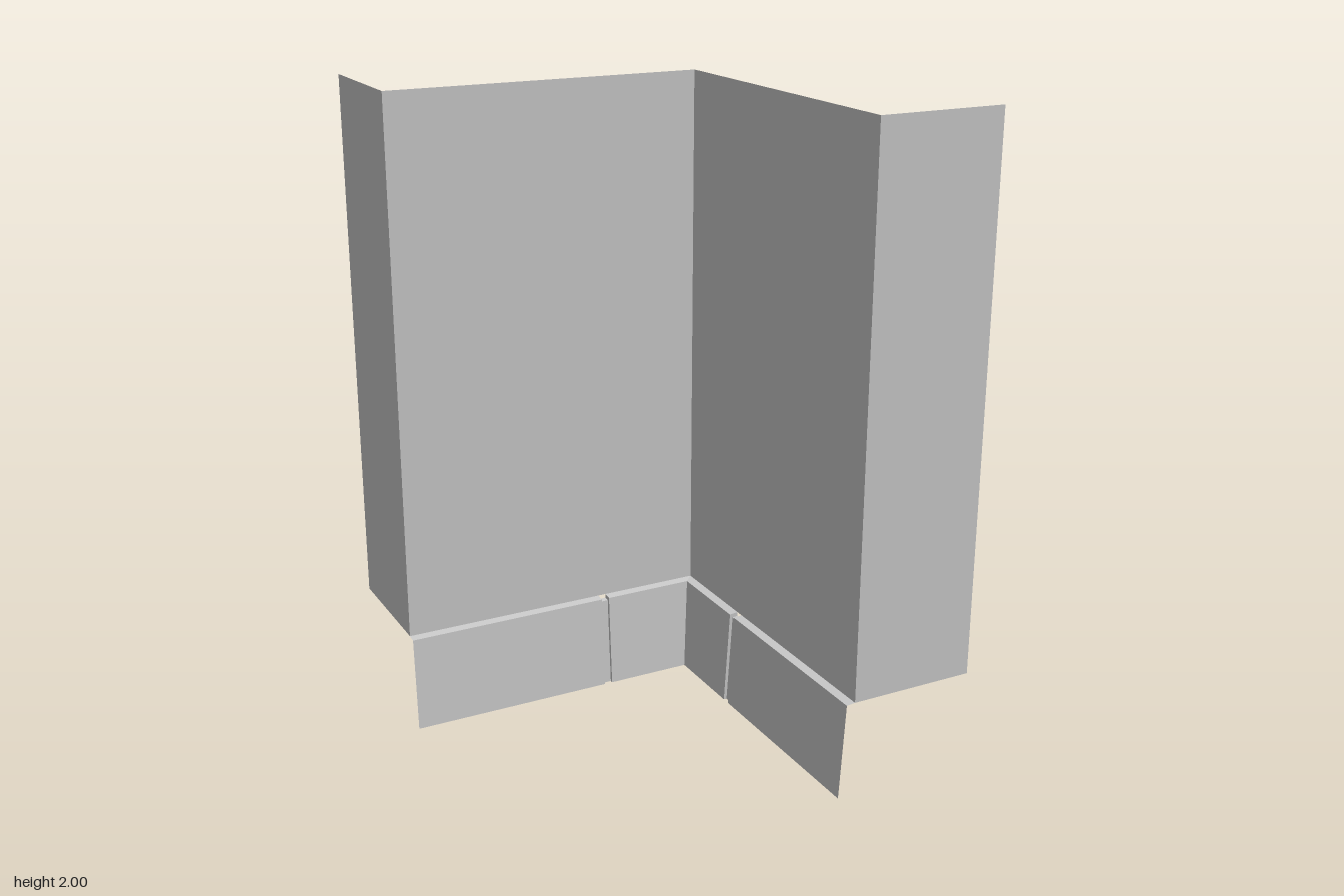
import * as THREE from 'three';

const material = new THREE.MeshStandardMaterial({ color: 0xcccccc, flatShading: true, side: THREE.DoubleSide });

const TOP = 2, BASE = 0.305, CORNER = 0.3, END = 0.7;
// profiles as [distance in front of the wall, height]
const skirtProfile = [[0, BASE], [0.028, 0.302], [0.046, 0]];
const grooveProfile = [[0, 0.292], [0.018, 0.29], [0.036, 0]];
const GROOVE = [-0.046, -0.02];

// Mesh from four-cornered faces
function sheet(name, quads) {
  const points = quads.flatMap(([a, b, c, d]) => [a, b, c, a, c, d]).flat();
  const geometry = new THREE.BufferGeometry();
  geometry.setAttribute('position', new THREE.Float32BufferAttribute(points, 3));
  geometry.computeVertexNormals();
  const mesh = new THREE.Mesh(geometry, material);
  mesh.name = name;
  return mesh;
}

// Faces of a profile swept between two ends; x0 and x1 give x for each distance
function sweep(profile, x0, x1) {
  const at = ([d, y], x) => [x(d), y, d - CORNER];
  return profile.slice(1).map((p, i) => {
    const q = profile[i];
    return [at(p, x0), at(p, x1), at(q, x1), at(q, x0)];
  });
}

// Side faces of the groove, joining the two profiles at one x
function grooveSide(x) {
  const at = ([d, y]) => [x, y, d - CORNER];
  return [0, 1].map(i => [at(skirtProfile[i]), at(skirtProfile[i + 1]), at(grooveProfile[i + 1]), at(grooveProfile[i])]);
}

// One half of the corner, "place" puts it on the back or on the left
function half(side, place) {
  const group = new THREE.Group();
  group.name = side + 'Half';
  const add = (name, quads) => group.add(sheet(side + name, quads.map(q => q.map(place))));
  const upright = (x0, z0, x1, z1) => [[x0, BASE, z0], [x1, BASE, z1], [x1, TOP, z1], [x0, TOP, z0]];

  // tall wall and its return flange
  add('Wall', [upright(-END, -CORNER, CORNER, -CORNER)]);
  add('Flange', [upright(-END, -END, -END, -CORNER)]);
  // ledge and sloping skirt, mitred at the corner and split by the groove
  add('Skirt', [
    ...sweep(skirtProfile, () => -END, () => GROOVE[0]),
    ...sweep(skirtProfile, () => GROOVE[1], d => CORNER - d),
  ]);
  // recessed groove with its side faces
  add('Groove', [
    ...sweep(grooveProfile, () => GROOVE[0], () => GROOVE[1]),
    ...GROOVE.flatMap(grooveSide),
  ]);
  return group;
}

export function createModel() {
  const model = new THREE.Group();
  model.name = 'cornerPanel';
  model.add(half('back', p => p));
  // mirrored across the diagonal, with the corner order turned round
  model.add(half('left', ([x, y, z]) => [-z, y, -x]));
  return model;
}
